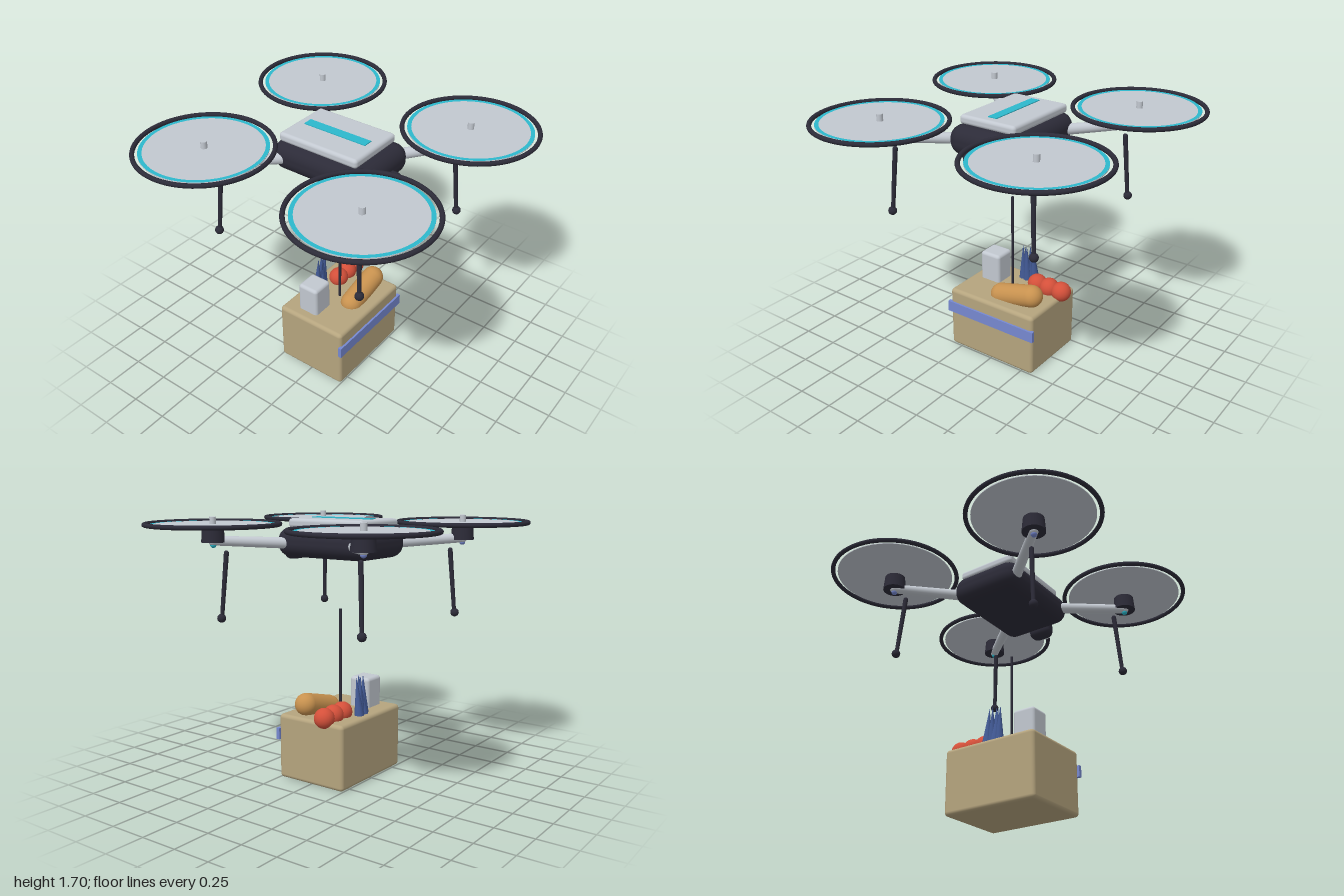
import * as THREE from 'three';
import { RoundedBoxGeometry } from 'three/addons/geometries/RoundedBoxGeometry.js';

const mat = (name, color) => {
  const m = new THREE.MeshStandardMaterial({ color });
  m.name = name;
  return m;
};

export function createModel() {
  const dark = mat('charcoal', 0x2c2b38);
  const light = mat('lightGrey', 0xc2c8d0);
  const cyan = mat('cyan', 0x2cb8cc);
  const tan = mat('cardboard', 0xb5a47e);
  const blue = mat('periwinkle', 0x7688d0);
  const navy = mat('denimBlue', 0x425a96);
  const red = mat('tomatoRed', 0xd4503a);
  const crust = mat('breadCrust', 0xc8924f);

  const root = new THREE.Group();
  root.name = 'deliveryDrone';

  const add = (parent, name, geometry, material, x = 0, y = 0, z = 0) => {
    const mesh = new THREE.Mesh(geometry, material);
    mesh.name = name;
    mesh.position.set(x, y, z);
    parent.add(mesh);
    return mesh;
  };
  const box = (w, h, d, r) => new RoundedBoxGeometry(w, h, d, 4, r);
  // Tapered rod between two points
  const rod = (parent, name, a, b, ra, rb, material, sides = 16) => {
    const from = new THREE.Vector3(...a), to = new THREE.Vector3(...b);
    const dir = to.clone().sub(from);
    const mesh = add(parent, name, new THREE.CylinderGeometry(rb, ra, dir.length(), sides), material);
    mesh.position.copy(from).add(to).multiplyScalar(0.5);
    mesh.quaternion.setFromUnitVectors(new THREE.Vector3(0, 1, 0), dir.normalize());
    return mesh;
  };

  // Fuselage
  const body = new THREE.Group();
  body.name = 'fuselage';
  root.add(body);
  add(body, 'hull', box(0.5, 0.19, 0.7, 0.085), dark, 0, 1.53, 0);
  add(body, 'topCover', box(0.41, 0.06, 0.57, 0.022), light, 0, 1.65, -0.02);
  add(body, 'coverStripe', new THREE.BoxGeometry(0.064, 0.009, 0.45), cyan, 0, 1.681, -0.02);

  // Camera pod under the nose
  add(body, 'cameraPod', box(0.16, 0.125, 0.11, 0.045), dark, 0, 1.468, 0.365);
  add(body, 'cameraLens', new THREE.CylinderGeometry(0.038, 0.038, 0.05, 24), light, 0, 1.465, 0.41)
    .rotation.x = Math.PI / 2;

  // Four arms, each with motor, guarded rotor, lamp and leg
  for (const sx of [-1, 1]) for (const sz of [-1, 1]) {
    const unit = new THREE.Group();
    unit.name = (sz > 0 ? 'front' : 'back') + (sx > 0 ? 'Left' : 'Right') + 'Rotor';
    root.add(unit);
    const x = 0.567 * sx, z = 0.567 * sz;
    rod(unit, 'arm', [0.21 * sx, 1.525, 0.25 * sz], [x, 1.548, z], 0.036, 0.03, light, 20);
    add(unit, 'armTip', new THREE.SphereGeometry(0.03, 16, 12), light, x, 1.545, z);
    add(unit, 'motor', new THREE.CylinderGeometry(0.067, 0.075, 0.095, 28), dark, x, 1.585, z);
    add(unit, 'shaft', new THREE.CylinderGeometry(0.02, 0.02, 0.07, 16), light, x, 1.66, z);
    add(unit, 'lamp', new THREE.SphereGeometry(0.02, 16, 12), sz > 0 ? cyan : blue, x, 1.522, z);

    add(unit, 'rotorDisc', new THREE.CylinderGeometry(0.385, 0.385, 0.006, 64), light, x, 1.648, z);
    add(unit, 'rotorEdge', new THREE.RingGeometry(0.36, 0.385, 64), cyan, x, 1.653, z)
      .rotation.x = -Math.PI / 2;
    add(unit, 'rotorGuard', new THREE.TorusGeometry(0.416, 0.0145, 12, 72), dark, x, 1.65, z)
      .rotation.x = Math.PI / 2;

    rod(unit, 'leg', [0.511 * sx, 1.47, 0.511 * sz], [0.538 * sx, 1.06, 0.538 * sz], 0.016, 0.013, dark);
    add(unit, 'legTop', new THREE.SphereGeometry(0.016, 14, 10), dark, 0.511 * sx, 1.47, 0.511 * sz);
    add(unit, 'foot', new THREE.SphereGeometry(0.028, 18, 14), dark, 0.54 * sx, 1.058, 0.54 * sz);
  }

  // Cargo box and its tether
  const cargo = new THREE.Group();
  cargo.name = 'cargo';
  root.add(cargo);
  rod(cargo, 'tether', [0, 0.41, 0], [0, 1.1, 0], 0.009, 0.009, dark, 10);
  add(cargo, 'crate', box(0.667, 0.43, 0.506, 0.025), tan, 0, 0.215, 0);
  add(cargo, 'crateBand', new THREE.BoxGeometry(0.692, 0.075, 0.025), blue, 0, 0.298, 0.254);

  // Groceries
  add(cargo, 'carton', box(0.155, 0.26, 0.15, 0.022), light, -0.188, 0.5, -0.07);
  const loaf = add(cargo, 'breadLoaf', new THREE.CapsuleGeometry(0.074, 0.25, 10, 24), crust, 0.11, 0.462, 0.107);
  loaf.rotation.z = -Math.PI / 2 + 0.26;
  for (const x of [0.13, 0.225, 0.32]) {
    add(cargo, 'tomato', new THREE.SphereGeometry(0.066, 24, 18), red, x, 0.458, -0.107);
  }
  // Leafy greens: base x, base z, tip x, tip z
  for (const [bx, bz, tx, tz] of [
    [-0.025, -0.17, -0.027, -0.16], [0.0, -0.185, 0.0, -0.145], [0.025, -0.175, 0.022, -0.175],
    [0.055, -0.19, 0.053, -0.165], [0.012, -0.165, 0.01, -0.15],
  ]) {
    rod(cargo, 'leaf', [bx, 0.41, bz], [tx, 0.675, tz], 0.034, 0.001, navy, 10);
  }
  return root;
}
